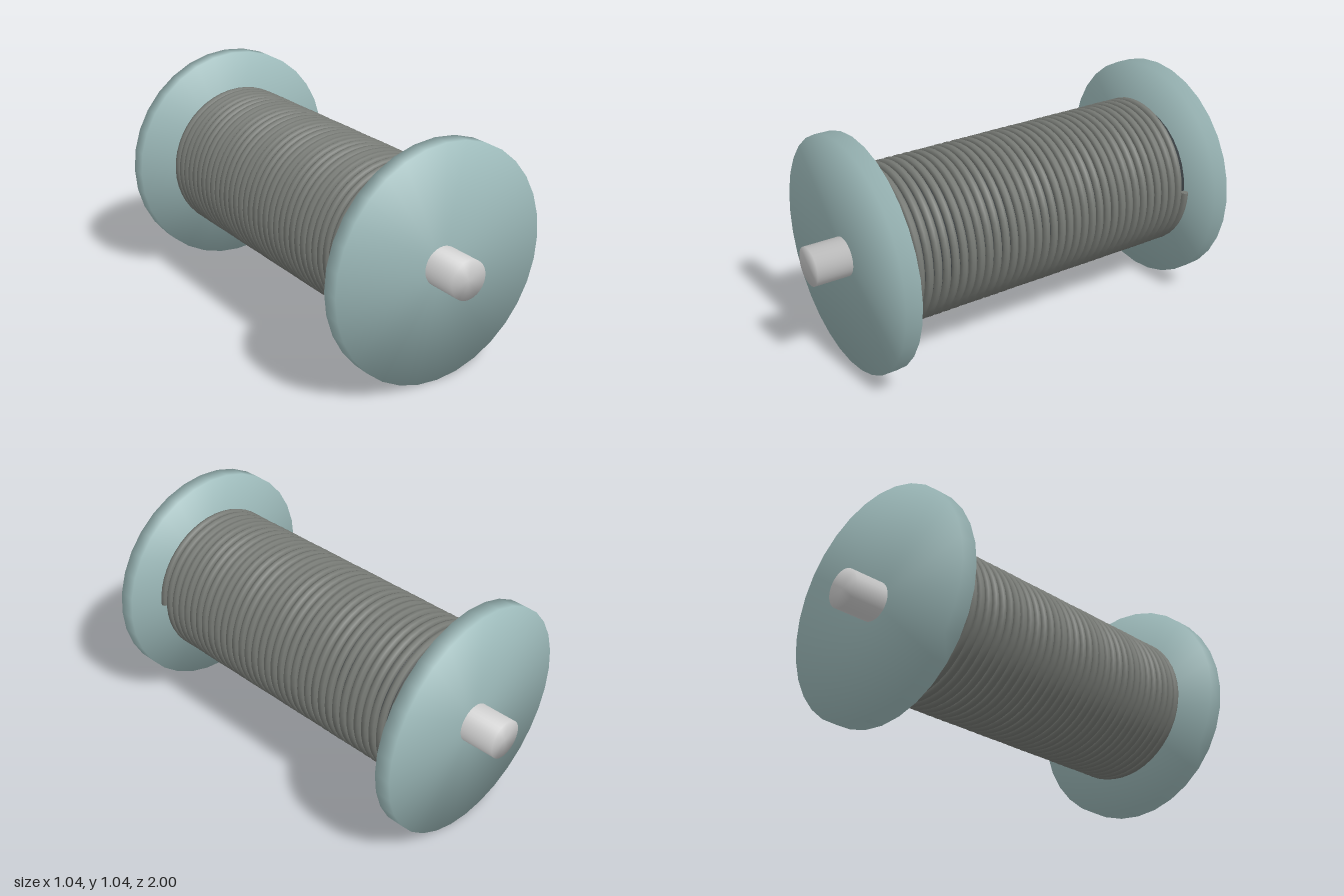
import * as THREE from 'three';

const AXIS_Y = 0.52;

// Cylinder along z whose normals blend softly over the rims
function softCylinder(radius, length, sides = 32) {
  const g = new THREE.CylinderGeometry(radius, radius, length, sides);
  const p = g.attributes.position;
  const n = new THREE.Vector3();
  for (let i = 0; i < p.count; i++) {
    const x = p.getX(i), z = p.getZ(i);
    const r = Math.hypot(x, z);
    n.set(0, Math.sign(p.getY(i)), 0);
    if (r > 1e-6) n.set(x / r, n.y, z / r).normalize();
    g.attributes.normal.setXYZ(i, n.x, n.y, n.z);
  }
  return g.rotateX(Math.PI / 2);
}

// Helix around z, starting at +x on the front end
class Helix extends THREE.Curve {
  constructor(radius, halfLength, turns) {
    super();
    Object.assign(this, { radius, halfLength, turns });
  }
  getPoint(t, target = new THREE.Vector3()) {
    const a = t * this.turns * Math.PI * 2;
    return target.set(
      this.radius * Math.cos(a),
      this.radius * Math.sin(a),
      this.halfLength * (1 - 2 * t)
    );
  }
  // Speed is constant, so arc length is proportional to t
  getPointAt(t, target) { return this.getPoint(t, target); }
  getTangentAt(t, target = new THREE.Vector3()) {
    const w = this.turns * Math.PI * 2, a = t * w;
    return target.set(
      -this.radius * w * Math.sin(a),
      this.radius * w * Math.cos(a),
      -2 * this.halfLength
    ).normalize();
  }
}

export function createModel() {
  const model = new THREE.Group();
  model.name = 'cableSpool';

  const shaftMat = new THREE.MeshStandardMaterial({ color: 0xcccccc });
  const flangeMat = new THREE.MeshStandardMaterial({ color: 0x9dbaba });
  const drumMat = new THREE.MeshStandardMaterial({ color: 0x3c4246 });
  const cableMat = new THREE.MeshStandardMaterial({ color: 0x777a75 });

  const add = (name, geometry, material, x = 0, y = 0, z = 0) => {
    const mesh = new THREE.Mesh(geometry, material);
    mesh.name = name;
    mesh.position.set(x, AXIS_Y + y, z);
    model.add(mesh);
    return mesh;
  };

  // Axle through the whole spool, and the drum the cable lies on
  add('axle', softCylinder(0.086, 2), shaftMat);
  add('drum', softCylinder(0.315, 1.54), drumMat);

  // End flanges
  for (const [name, s] of [['frontFlange', 1], ['backFlange', -1]]) {
    add(name, softCylinder(0.52, 0.075), flangeMat, 0, 0, s * 0.8025);
  }

  // Wound cable with closed ends
  const radius = 0.337, halfLength = 0.75, turns = 36, thickness = 0.0175;
  const helix = new Helix(radius, halfLength, turns);
  add('cable', new THREE.TubeGeometry(helix, turns * 48, thickness, 8), cableMat);
  for (const [name, s] of [['cableStart', 1], ['cableEnd', -1]]) {
    const cap = add(name, new THREE.CircleGeometry(thickness, 8), cableMat, radius, 0, s * halfLength);
    cap.rotation.x = s * Math.PI / 2;
  }

  return model;
}
